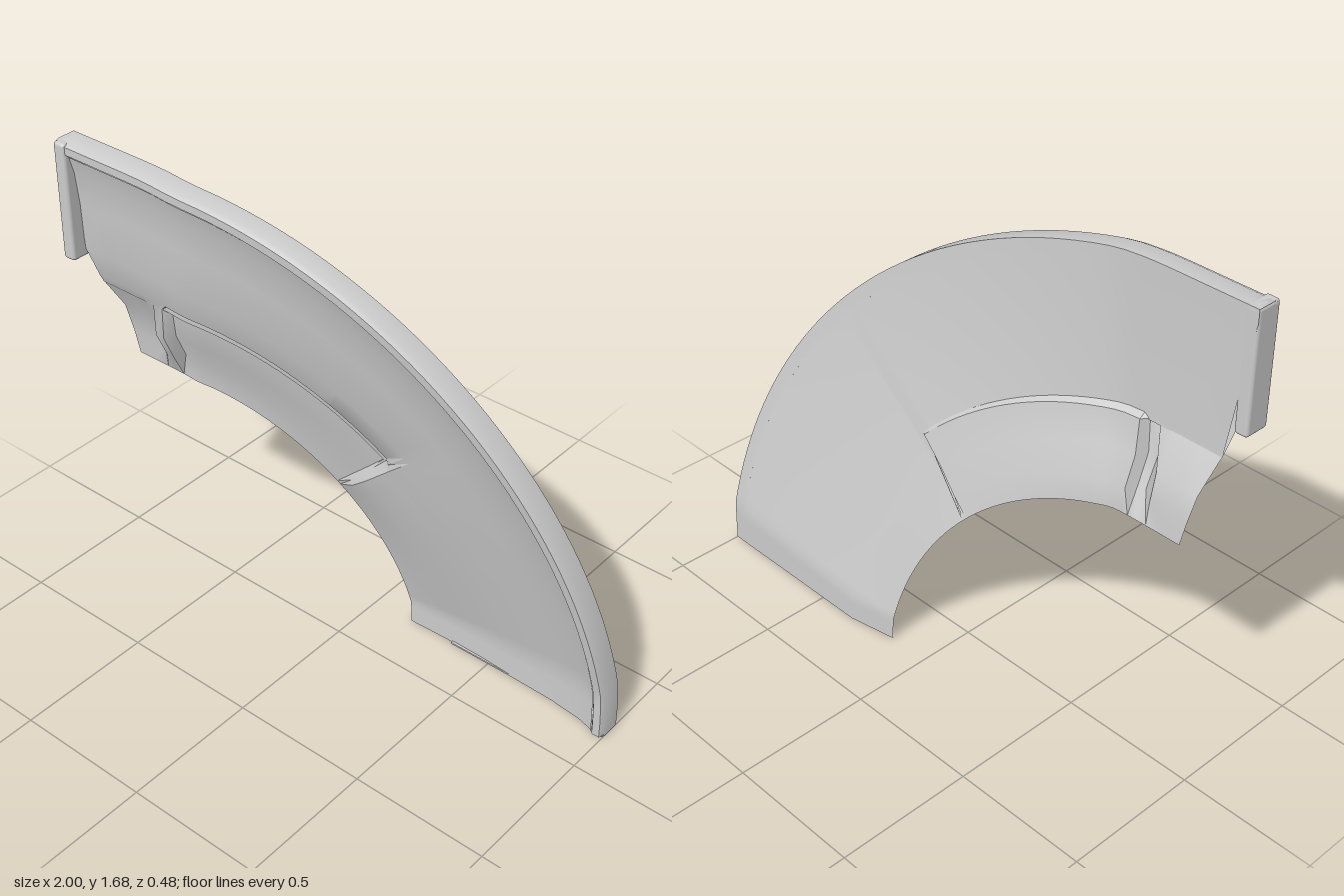
import * as THREE from 'three';
import { toCreasedNormals } from 'three/addons/utils/BufferGeometryUtils.js';
import { RoundedBoxGeometry } from 'three/addons/geometries/RoundedBoxGeometry.js';

const CX = -0.68; // centre of the quarter bend
const { lerp, clamp, degToRad } = THREE.MathUtils;

// Straight lead-in is s = -1..0, the bend is s = 0..90 degrees.
const base = (s) => lerp(0.143, -0.245, clamp((s - 7) / 77, 0, 1));
const innerDrop = (s) => lerp(-0.09, 0.035, clamp((s - 9) / 75, 0, 1));

// Piecewise linear interpolation through [key, value] pairs
function sample(keys, t) {
  for (let i = 1; i < keys.length; i++) {
    const [a, va] = keys[i - 1], [b, vb] = keys[i];
    if (t <= b) return lerp(va, vb, clamp((t - a) / (b - a), 0, 1));
  }
  return keys[keys.length - 1][1];
}

// Length of the lead-in: slanted at the inner end
const leadIn = (r) => sample([[0.84, 0.18], [1.0, 0.21], [1.29, 0.27], [1.6, 0.28], [1.63, 0.32]], r);

function place(s, r, rel) {
  const z = base(s) + rel;
  if (s < 0) return [CX + s * leadIn(r), r, z];
  const a = degToRad(s);
  return [CX + r * Math.sin(a), r * Math.cos(a), z];
}

// Skin over stations along the bend and points across it
function skin(stations, count, point, flip, crease) {
  const pos = [], index = [];
  stations.forEach((s, i) => {
    for (let j = 0; j < count; j++) {
      pos.push(...place(s, ...point(s, j)));
      if (i && j) {
        const d = i * count + j, c = d - 1, b = d - count, a = b - 1;
        if (flip) index.push(a, d, c, a, b, d);
        else index.push(a, c, d, a, d, b);
      }
    }
  });
  const g = new THREE.BufferGeometry();
  g.setAttribute('position', new THREE.Float32BufferAttribute(pos, 3));
  g.setIndex(index);
  return toCreasedNormals(g, crease);
}

// Front panel heights at each radius, by zone; e is the inner edge height
const RADII = [0.84, 0.93, 1.03, 1.15, 1.17, 1.28, 1.45, 1.57, 1.63];
const OUTER = [0.04, 0.045, 0.058, 0.075];
const ZONES = {
  pocket: (e) => [e, e * 0.92, e * 0.75, 0, 0.008, ...OUTER],
  ridge: (e) => [e, e * 0.5, 0, 0.003, 0.01, ...OUTER],
  channel: (e) => [e, e + 0.004, e * 0.45, e * 0.25, 0.008, ...OUTER],
  lip: (e) => [e, lerp(e, 0.03, 0.6), 0.03, 0.032, 0.033, ...OUTER],
};
const SPANS = [
  [-1, 'pocket'], [-0.25, 'pocket'], [0, 'ridge'], [2, 'ridge'],
  [3, 'channel'], [46, 'channel'], [48, 'lip'], [90, 'lip'],
];
function frontHeight(s, j) {
  const e = innerDrop(s);
  return sample(SPANS.map(([k, zone]) => [k, ZONES[zone](e)[j]]), s);
}

export function createModel() {
  const group = new THREE.Group();
  const single = new THREE.MeshStandardMaterial({ color: 0xcccccc });
  const double = new THREE.MeshStandardMaterial({ color: 0xcccccc, side: THREE.DoubleSide });
  const add = (name, geometry, material = single) => {
    const mesh = new THREE.Mesh(geometry, material);
    mesh.name = name;
    group.add(mesh);
    return mesh;
  };

  const stations = [-1, -0.6, -0.25, 0];
  for (let s = 2; s <= 90; s += 2) {
    stations.push(s);
    if (s === 2) stations.push(3);
    if (s === 46) stations.push(47);
  }

  // Front panel with the pocket, ridge, channel and inner lip
  add('frontPanel', skin(stations, RADII.length,
    (s, j) => [Math.min(RADII[j], 1.632), frontHeight(s, j)], false, 0.5), double);

  // Flat back panel, with a bent inner strip past the channel
  add('backPanel', skin(stations, 3, (s, j) => {
    const full = s > 46;
    if (j === 0) return full ? [0.84, innerDrop(s) - 0.002] : [1.145, -0.001];
    return j === 1 ? [full ? 1.02 : 1.16, 0] : [1.64, 0];
  }, true, 0.5), double);

  // Raised outer rim
  const section = [[1.63, 0], [1.68, 0], [1.68, 0.068], [1.67, 0.088], [1.642, 0.088], [1.63, 0.07], [1.63, 0]];
  add('outerRim', skin(stations, section.length, (s, j) => section[j], true, 0.9));

  // Plates closing the bottom end
  const plate = (name, x0, x1, depth) => add(name, new THREE.BoxGeometry(x1 - x0, 0.006, depth))
    .position.set((x0 + x1) / 2, 0.003, -0.245 + depth / 2);
  plate('bottomEnd', 0.34, 0.96, 0.04);
  plate('rimEnd', 0.952, 0.998, 0.08);

  // Upright post at the upper end of the rim
  add('endPost', new RoundedBoxGeometry(0.05, 0.43, 0.095, 3, 0.012))
    .position.set(-0.975, 1.465, 0.19);

  return group;
}
